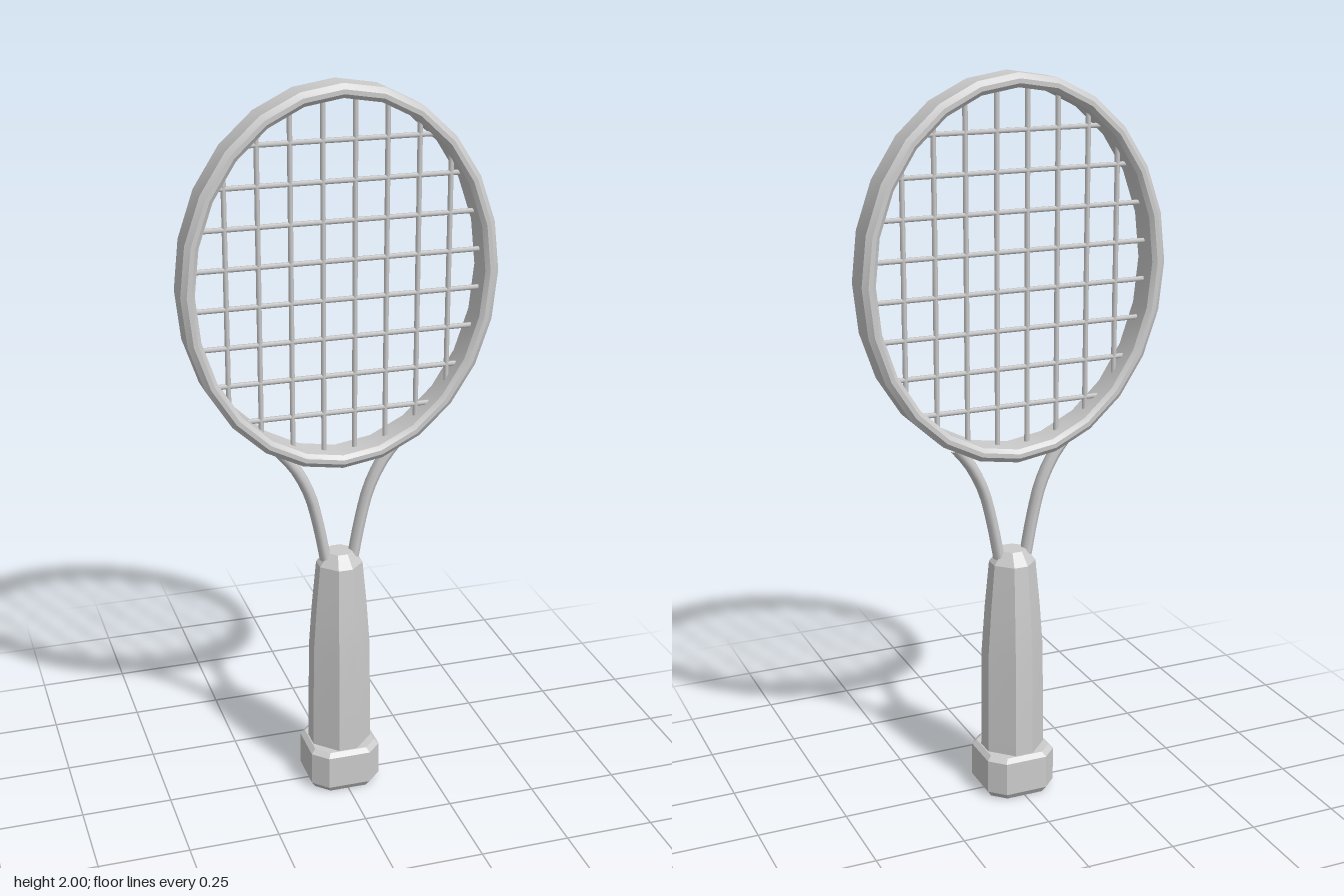
import * as THREE from 'three';
import { toCreasedNormals } from 'three/addons/utils/BufferGeometryUtils.js';

const material = new THREE.MeshStandardMaterial({ color: 0xcccccc });

function add(parent, name, geometry) {
  const mesh = new THREE.Mesh(geometry, material);
  mesh.name = name;
  parent.add(mesh);
  return mesh;
}

// Skins a list of equal-sized rings; either joins last to first or caps both ends.
function loft(rings, closed) {
  const n = rings[0].length;
  const count = rings.length;
  const index = [];
  for (let i = 0; i < (closed ? count : count - 1); i++) {
    const next = (i + 1) % count;
    for (let j = 0; j < n; j++) {
      const k = (j + 1) % n;
      const a = i * n + j, b = i * n + k, c = next * n + k, d = next * n + j;
      index.push(a, d, b, b, d, c);
    }
  }
  if (!closed) {
    const top = (count - 1) * n;
    for (let j = 1; j < n - 1; j++) {
      index.push(0, j, j + 1);
      index.push(top, top + j + 1, top + j);
    }
  }
  const geometry = new THREE.BufferGeometry();
  geometry.setAttribute('position', new THREE.Float32BufferAttribute(rings.flat(2), 3));
  geometry.setIndex(index);
  return toCreasedNormals(geometry, 0.5);
}

// Square with cut corners: h is the half width, f the half length of each flat.
const octagon = (y, h, f) => [
  [h, y, -f], [h, y, f], [f, y, h], [-f, y, h],
  [-h, y, f], [-h, y, -f], [-f, y, -h], [f, y, -h],
];

export function createModel() {
  const racket = new THREE.Group();
  racket.name = 'racket';
  const cy = 1.4875, rx = 0.427, ry = 0.5125;

  // Oval hoop with a bevelled section: [inset from the outer edge, z]
  const section = [
    [0, -0.038], [0, 0.038], [0.014, 0.05], [0.026, 0.05],
    [0.037, 0.04], [0.037, -0.04], [0.026, -0.05], [0.014, -0.05],
  ];
  const hoop = [];
  const segments = 24;
  for (let i = 0; i < segments; i++) {
    const t = (i / segments) * Math.PI * 2;
    hoop.push(section.map(([inset, z]) => [
      (rx - inset) * Math.cos(t), cy + (ry - inset) * Math.sin(t), z - 0.002,
    ]));
  }
  add(racket, 'hoop', loft(hoop, true));

  // Strings, cut to length by the oval
  const strings = new THREE.Group();
  strings.name = 'strings';
  racket.add(strings);
  const sx = rx - 0.025, sy = ry - 0.025;
  for (let i = 0; i < 8; i++) {
    const x = (i - 3.5) * 0.086;
    const length = 2 * sy * Math.sqrt(1 - (x / sx) ** 2);
    add(strings, 'mainString', new THREE.CylinderGeometry(0.007, 0.007, length, 6))
      .position.set(x, cy, 0);

    const dy = (i - 3.5) * 0.1042;
    const width = 2 * sx * Math.sqrt(1 - (dy / sy) ** 2);
    const cross = add(strings, 'crossString', new THREE.CylinderGeometry(0.007, 0.007, width, 6));
    cross.rotation.z = Math.PI / 2;
    cross.position.y = cy + dy;
  }

  // Two curved throat arms joining the hoop to the grip
  for (const side of [-1, 1]) {
    const path = new THREE.CatmullRomCurve3([
      [0.165, 1.025], [0.125, 0.975], [0.085, 0.895], [0.06, 0.8], [0.04, 0.695],
    ].map(([x, y]) => new THREE.Vector3(side * x, y, 0)));
    const arm = new THREE.TubeGeometry(path, 10, 0.016, 8, false);
    add(racket, side > 0 ? 'leftThroatArm' : 'rightThroatArm', arm).scale.z = 1.35;
  }

  // Tapered eight-sided grip
  add(racket, 'grip', loft([
    octagon(0.1, 0.085, 0.026), octagon(0.42, 0.082, 0.025), octagon(0.55, 0.073, 0.023),
    octagon(0.68, 0.061, 0.02), octagon(0.715, 0.034, 0.014),
  ], false));

  // Wider butt cap with bevelled rims
  add(racket, 'buttCap', loft([
    octagon(0, 0.088, 0.053), octagon(0.018, 0.1, 0.06),
    octagon(0.113, 0.1, 0.06), octagon(0.125, 0.088, 0.053),
  ], false));

  return racket;
}
